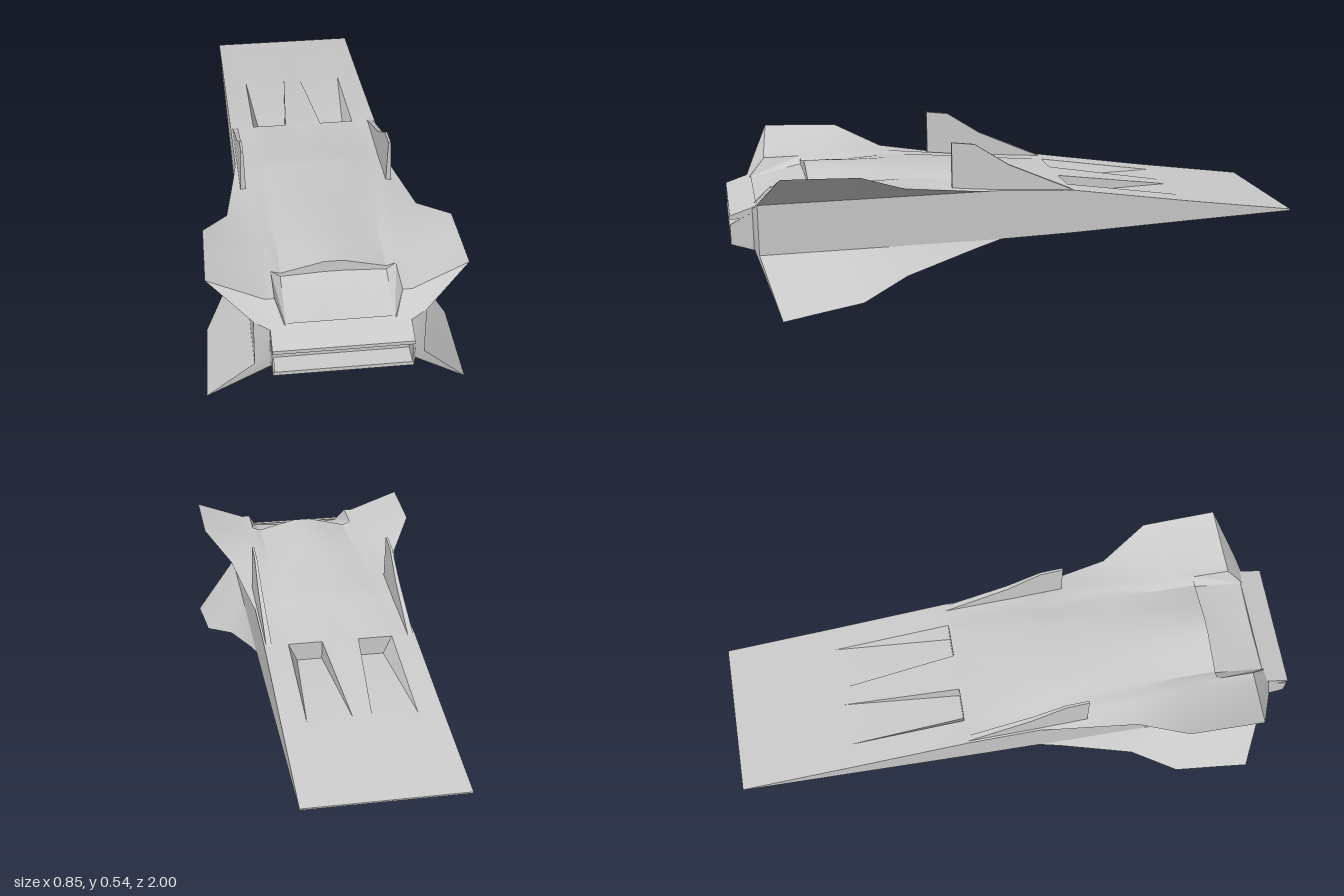
import * as THREE from 'three';
import { toCreasedNormals } from 'three/addons/utils/BufferGeometryUtils.js';

const material = new THREE.MeshStandardMaterial({ color: 0xcccccc, side: THREE.DoubleSide });
const clamp = (v) => Math.min(1, Math.max(0, v));

// Hull stations from nose (-z) to tail (+z):
// z, roof, shoulder, wing root, upper tip x y, lower tip x y, belly, keel
const stations = [
  [-1, .228, .228, .228, .27, .228, .27, .223, .223, .223],
  [-.6, .285, .285, .285, .27, .285, .27, .21, .208, .205],
  [-.18, .35, .35, .35, .27, .35, .27, .195, .188, .185],
  [-.179, .35, .35, .35, .27, .35, .27, .195, .188, .185],
  [.08, .385, .38, .37, .27, .365, .27, .19, .178, .175],
  [.15, .395, .39, .38, .28, .368, .28, .172, .175, .172],
  [.151, .395, .39, .38, .28, .368, .28, .172, .16, .16],
  [.42, .418, .405, .408, .32, .405, .33, .10, .155, .162],
  [.58, .43, .4, .41, .405, .475, .41, .045, .158, .168],
  [.67, .434, .4, .41, .407, .479, .415, .032, .16, .172],
  [.671, .434, .4, .41, .407, .479, .415, .032, .14, .162],
  [.73, .435, .4, .41, .408, .481, .418, .023, .145, .162],
  [.731, .395, .388, .41, .408, .481, .418, .023, .145, .162],
  [.92, .335, .345, .41, .41, .485, .425, .005, .185, .165],
];

// Half cross-section from roof centre, round the wings, to the keel
function halfSection([z, c, s, e, ux, uy, lx, ly, b, k]) {
  const front = clamp((z + .6) / .42), back = clamp((z + .18) / .6);
  const x1 = .03 + .035 * front - .035 * back;
  const x2 = x1 + .002 + .068 * back;
  const x3 = .183 - .028 * front + .015 * back;
  const x4 = .185 + .015 * back;
  const inlet = z === -.18; // deepest end of the deck inlets
  const tail = z === .92 ? 1 : 0; // swept trailing edges
  return [
    [0, c, z], [x1, c, z],
    [x2, inlet ? .285 : (c + s) / 2, z], [x3, inlet ? .285 : s, z],
    [x4, e, z - .06 * tail], [.23, e, z - .06 * tail],
    [ux, uy, z - .08 * tail],
    [.27, Math.min(.365, uy), z - .01 * tail], [.27, Math.max(.19, ly), z - .01 * tail],
    [lx, ly, z - .07 * tail],
    [.22, b, z], [.07, b, z], [0, k, z],
  ];
}

// Flat tail ring around the nozzle mouth
const tailRing = halfSection(stations[stations.length - 1]).map(([x], j) =>
  [Math.min(x, .22), j < 4 ? .335 : j < 8 ? .34 : .2, .925]);

function hullGeometry() {
  const rings = [...stations.map(halfSection), tailRing].map((half) =>
    [...half, ...half.slice(1, -1).reverse().map(([x, y, z]) => [-x, y, z])]);
  const n = rings[0].length, pos = [];
  const tri = (...p) => p.forEach((v) => pos.push(...v));
  for (let i = 0; i < rings.length - 1; i++) {
    for (let j = 0; j < n; j++) {
      const k = (j + 1) % n;
      const a = rings[i][j], b = rings[i][k], c = rings[i + 1][k], d = rings[i + 1][j];
      if (j < n / 2) { tri(a, d, b); tri(b, d, c); } else { tri(a, d, c); tri(a, c, b); }
    }
  }
  // end caps
  const first = rings[0], last = rings[rings.length - 1];
  for (let j = 0; j < n; j++) {
    const k = (j + 1) % n;
    tri([0, .2255, -1], first[j], first[k]);
    tri([0, .27, .925], last[k], last[j]);
  }
  const g = new THREE.BufferGeometry();
  g.setAttribute('position', new THREE.Float32BufferAttribute(pos, 3));
  return toCreasedNormals(g, .45);
}

// Extrude a [z, y] outline along x, centred on x = 0
function slab(outline, width) {
  const shape = new THREE.Shape(outline.map((p) => new THREE.Vector2(...p)));
  const g = new THREE.ExtrudeGeometry(shape, { depth: width, bevelEnabled: false });
  return g.translate(0, 0, -width / 2).rotateY(-Math.PI / 2);
}

export function createModel() {
  const model = new THREE.Group();
  const add = (name, geometry, x = 0) => {
    const mesh = new THREE.Mesh(geometry, material);
    mesh.name = name;
    mesh.position.x = x;
    model.add(mesh);
  };

  add('hullAndWings', hullGeometry());

  // Upright fins, thinner towards the top
  const fin = slab([[-.18, .335], [-.18, .35], [.05, .452], [.17, .53], [.25, .54], [.25, .36]], .02);
  const p = fin.attributes.position;
  for (let i = 0; i < p.count; i++) {
    p.setX(i, p.getX(i) * (1 - .6 * clamp((p.getY(i) - .36) / .18)));
  }
  fin.computeVertexNormals();

  const sideFlap = slab([[.92, .21], [1, .235], [1, .29], [.92, .33]], .006);
  for (const side of [1, -1]) {
    add(side > 0 ? 'leftFin' : 'rightFin', fin, side * .253);
    add(side > 0 ? 'leftNozzleFlap' : 'rightNozzleFlap', sideFlap, side * .218);
  }

  // Nozzle lips above and below the recessed exhaust plate
  add('upperNozzleFlap', slab([[.91, .31], [1, .307], [1, .32], [.91, .35]], .44));
  add('lowerNozzleFlap', slab([[.91, .19], [1, .22], [1, .234], [.91, .235]], .44));
  add('exhaustPlate', new THREE.BoxGeometry(.43, .08, .02).translate(0, .272, .925));
  return model;
}
